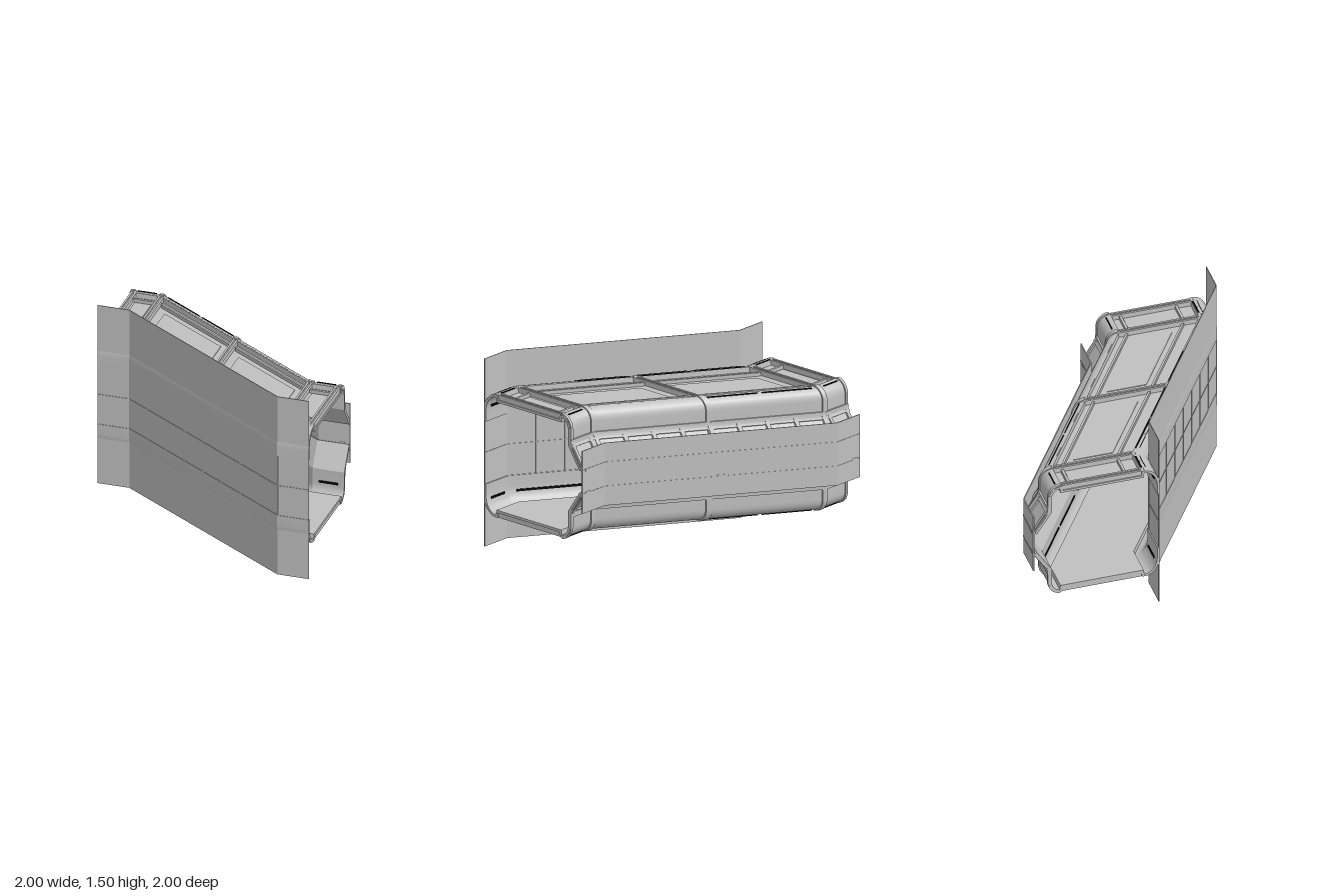
import * as THREE from 'three';
import { toCreasedNormals } from 'three/addons/utils/BufferGeometryUtils.js';

const BEND = 0.75;
// Sideways shift of the corridor along its length: straight, diagonal, straight
const shift = (x) => THREE.MathUtils.clamp((x + BEND) / (2 * BEND), 0, 1);

// Sweep a closed [z, y] outline from x0 to x1 along the bent path
function sweep(profile, x0, x1) {
  const xs = [x0, ...[-BEND, BEND].filter((b) => b > x0 + 1e-4 && b < x1 - 1e-4), x1];
  const n = profile.length;
  const pos = [];
  const put = (x, i) => pos.push(x, profile[i % n][1], profile[i % n][0] + shift(x));
  for (let s = 0; s < xs.length - 1; s++) {
    const a = xs[s], b = xs[s + 1];
    for (let i = 0; i < n; i++) {
      put(a, i); put(b, i); put(b, i + 1);
      put(a, i); put(b, i + 1); put(a, i + 1);
    }
  }
  const flat = profile.map(([z, y]) => new THREE.Vector2(z, y));
  for (const [p, q, r] of THREE.ShapeUtils.triangulateShape(flat, [])) {
    put(x0, p); put(x0, r); put(x0, q);
    put(x1, p); put(x1, q); put(x1, r);
  }
  const g = new THREE.BufferGeometry();
  g.setAttribute('position', new THREE.Float32BufferAttribute(pos, 3));
  g.computeVertexNormals();
  return toCreasedNormals(g, 0.5);
}

// Give an open line a thickness t (positive grows outward)
function thicken(line, t) {
  const normals = line.slice(1).map((p, i) =>
    new THREE.Vector2(p[1] - line[i][1], line[i][0] - p[0]).normalize());
  const outer = line.map((p, i) => {
    const a = normals[Math.max(i - 1, 0)], b = normals[Math.min(i, normals.length - 1)];
    const m = a.clone().add(b).normalize();
    const k = t / Math.max(m.dot(a), 0.5);
    return [p[0] + m.x * k, p[1] + m.y * k];
  });
  return [...line, ...outer.reverse()];
}

const rect = (z0, z1, y0, y1) => [[z0, y0], [z1, y0], [z1, y1], [z0, y1]];
const mirror = (profile) => profile.map(([z, y]) => [z, 1.5 - y]);

function arc(cz, cy, rz, ry, a0, a1, steps = 8) {
  return Array.from({ length: steps + 1 }, (_, i) => {
    const a = THREE.MathUtils.lerp(a0, a1, i / steps);
    return [cz + rz * Math.cos(a), cy + ry * Math.sin(a)];
  });
}

export function createModel() {
  const grey = new THREE.MeshStandardMaterial({ color: 0xc0c0c0, side: THREE.DoubleSide });
  grey.name = 'hull grey';
  const black = new THREE.MeshStandardMaterial({ color: 0x050505, side: THREE.DoubleSide });
  black.name = 'strip black';

  const model = new THREE.Group();
  model.name = 'corridor';
  const add = (name, profile, x0 = -1, x1 = 1, mat = grey) => {
    const m = new THREE.Mesh(sweep(profile, x0, x1), mat);
    m.name = name;
    model.add(m);
  };
  // The corridor is the same above and below its middle height
  const addPair = (name, profile, x0, x1, mat) => {
    add('upper ' + name, profile, x0, x1, mat);
    add('lower ' + name, mirror(profile), x0, x1, mat);
  };

  // Tall front wall with a grid of fine seams
  add('front wall', rect(-0.01, -0.004, 0, 1.5));
  add('wall middle seam', rect(-0.014, 0, 0.747, 0.753));
  addPair('wall edge seam', rect(-0.014, 0, 0.997, 1.003), -BEND, BEND);
  for (let i = 0; i <= 8; i++) {
    const x = -BEND + i * 0.1875;
    add('wall upright seam', rect(-0.014, 0, 0.5, 1), x - 0.004, x + 0.004);
  }

  // Back plate with two seams and small tabs
  add('back plate', rect(-0.997, -0.988, 0.5, 1));
  addPair('plate seam', rect(-1, -0.985, 0.843, 0.849));
  for (const x of [-0.94, 0, 0.94]) {
    addPair('plate tab', rect(-1, -0.985, 0.832, 0.849), x - 0.025, x + 0.025);
  }

  // Rounded corner shells
  const frontLine = arc(-0.12, 1.08, 0.12, 0.16, 0, Math.PI / 2);
  frontLine.unshift([0, 1]);
  const backLine = [
    ...arc(-0.78, 1.14, 0.09, 0.1, Math.PI / 2, Math.PI),
    [-0.87, 1.02], [-0.985, 0.845],
  ];
  addPair('front corner shell', thicken(frontLine, -0.02));
  addPair('back corner shell', thicken(backLine, -0.02));

  // Sunken roof and floor deck
  const deckLine = [[-0.11, 1.239], [-0.14, 1.239], [-0.145, 1.2],
    [-0.765, 1.2], [-0.77, 1.239], [-0.79, 1.239]];
  addPair('deck', thicken(deckLine, -0.02));

  // Hoops around the back shell and beams across the deck
  for (const [x, w] of [[-0.985, 0.012], [-BEND, 0.018], [0, 0.02], [BEND, 0.018], [0.985, 0.012]]) {
    addPair('hoop', thicken(backLine, 0.01), x - w, x + w);
  }
  for (const x of [-0.97, -BEND, 0, BEND, 0.97]) {
    for (const side of [-1, 1]) {
      const c = x + side * 0.014;
      addPair('deck beam', rect(-0.77, -0.14, 1.18, 1.24), c - 0.008, c + 0.008);
    }
    addPair('beam core', rect(-0.77, -0.14, 1.18, 1.232), x - 0.014, x + 0.014);
  }

  // Deck panels: side rails with a thin plate between them
  const bays = [[-0.95, -0.78], [-0.72, -0.03], [0.03, 0.72], [0.78, 0.95]];
  for (const [a, b] of bays) {
    for (const z of [-0.7, -0.26]) {
      addPair('panel rail', rect(z - 0.01, z + 0.01, 1.195, 1.228), a, b);
    }
    const inset = b - a > 0.4 ? 0.06 : 0.02;
    const dz = b - a > 0.4 ? 0.155 : 0.2;
    addPair('deck panel', rect(-0.48 - dz, -0.48 + dz, 1.198, 1.206), a + inset, b - inset);
  }

  // Frames of the recessed slanted panels
  const slant = thicken([[-0.87, 1.035], [-0.88, 1.005], [-0.985, 0.845]], 0.014);
  const lip = thicken([[-0.87, 1.06], [-0.87, 1.02], [-0.885, 0.997]], 0.014);
  const posts = [-0.975, -0.785, 0.785, 0.975];
  for (let i = 0; i <= 8; i++) posts.push(-0.735 + i * 0.18375);
  for (const x of posts) addPair('slant post', slant, x - 0.013, x + 0.013);
  addPair('slant lip', lip);

  // Black strips along the corners, inside and outside
  const runs = [[-0.95, -0.8], [-0.7, -0.38], [-0.35, -0.03], [0.04, 0.37], [0.8, 0.95]];
  for (const [a, b] of runs) {
    addPair('front outer strip', rect(-0.137, -0.124, 1.236, 1.243), a, b, black);
    addPair('front fine strip', rect(-0.1, -0.096, 1.232, 1.241), a, b, black);
    if (a < 0 || a > 0.5) {
      addPair('back outer strip', rect(-0.815, -0.807, 1.228, 1.24), a, b, black);
    }
  }
  for (const [a, b] of [...runs, [0.37, 0.7]]) {
    addPair('front inner strip', rect(-0.034, -0.026, 1.11, 1.127), a, b, black);
    addPair('back inner strip', rect(-0.852, -0.843, 1.11, 1.127), a, b, black);
  }
  return model;
}
